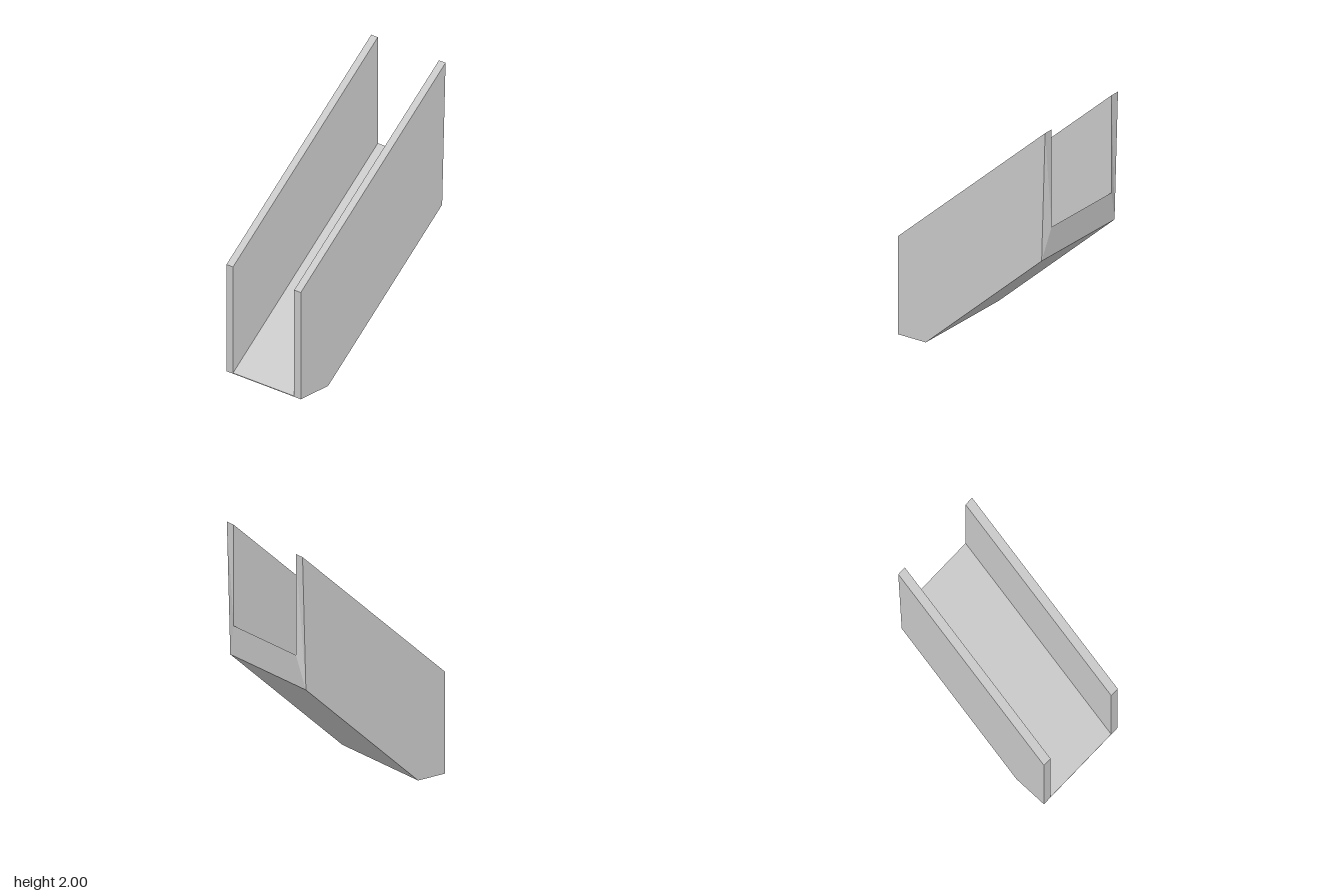
import * as THREE from 'three';

const OUTER = 0.355, INNER = 0.292;

// U-shaped cross-section: each corner is [x, y, z], going round from the lower right outer edge
function section({ z, top, floor, bottomY, bottomZ = z }) {
  const half = [
    [OUTER, bottomY, bottomZ],
    [OUTER, top, z],
    [INNER, top, z],
    [INNER, floor, z],
  ];
  const right = half.map(([x, y, zz]) => [-x, y, zz]);
  return [...right, ...half.slice().reverse()];
}

// Join the sections into a closed solid with flat faces
function loft(sections) {
  const positions = [];
  const quad = (a, b, c, d) => positions.push(...a, ...b, ...c, ...a, ...c, ...d);
  for (let s = 0; s < sections.length - 1; s++) {
    const p = sections[s], q = sections[s + 1], n = p.length;
    for (let j = 0; j < n; j++) {
      const k = (j + 1) % n;
      quad(p[j], p[k], q[k], q[j]);
    }
  }
  // End caps: right wall, floor, left wall
  const first = sections[0], last = sections[sections.length - 1];
  for (const [a, b, c, d] of [[0, 1, 2, 3], [0, 3, 4, 7], [4, 5, 6, 7]]) {
    quad(first[d], first[c], first[b], first[a]);
    quad(last[a], last[b], last[c], last[d]);
  }
  const geometry = new THREE.BufferGeometry();
  geometry.setAttribute('position', new THREE.Float32BufferAttribute(positions, 3));
  geometry.computeVertexNormals();
  return geometry;
}

export function createModel() {
  const group = new THREE.Group();
  group.name = 'slopedChannel';

  const material = new THREE.MeshStandardMaterial({ color: 0xcccccc, flatShading: true });

  // Foot, underside bend and upper end of the sloping channel
  const geometry = loft([
    section({ z: 0.635, top: 0.735, floor: 0.005, bottomY: 0 }),
    section({ z: 0.395, top: 0.974, floor: 0.244, bottomY: 0.032 }),
    section({ z: -0.635, top: 2, floor: 1.27, bottomY: 1.03, bottomZ: -0.605 }),
  ]);
  const channel = new THREE.Mesh(geometry, material);
  channel.name = 'channel';
  group.add(channel);
  return group;
}
